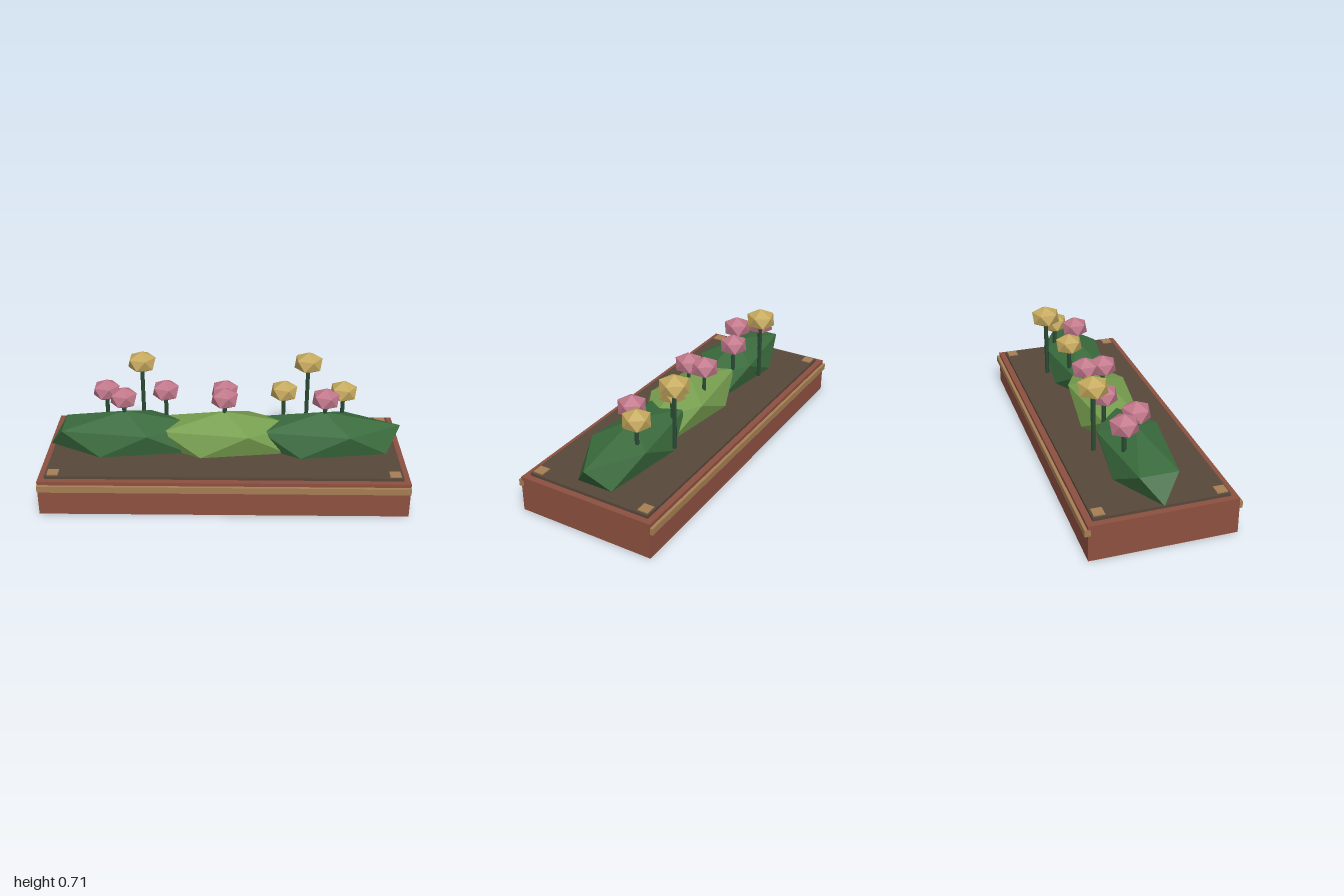
import * as THREE from 'three';

const mat = (name, color) => {
  const m = new THREE.MeshStandardMaterial({ color });
  m.name = name;
  m.flatShading = true;
  return m;
};

// Icosahedron standing on a corner, with one upper ring corner towards +x
function facetedBall(rx, ry, rz) {
  const g = new THREE.IcosahedronGeometry(1, 0);
  g.rotateX(-Math.atan2((1 + Math.sqrt(5)) / 2, 1));
  g.rotateY(Math.PI / 2);
  g.scale(rx, ry, rz);
  return g;
}

export function createModel() {
  const model = new THREE.Group();
  model.name = 'flowerPlanter';

  const brick = mat('brick', 0x8d503f);
  const wood = mat('wood', 0xa67e54);
  const soilMat = mat('soil', 0x58483b);
  const darkLeaf = mat('darkLeaf', 0x3a6b3d);
  const lightLeaf = mat('lightLeaf', 0x769e4e);
  const stemMat = mat('stem', 0x2a4a33);
  const pink = mat('pinkPetal', 0xc0778a);
  const yellow = mat('yellowPetal', 0xc5a95e);

  const add = (name, geometry, material, x, y, z, parent = model) => {
    const mesh = new THREE.Mesh(geometry, material);
    mesh.name = name;
    mesh.position.set(x, y, z);
    parent.add(mesh);
    return mesh;
  };

  // Planter body and soil bed
  add('planterBox', new THREE.BoxGeometry(2, 0.2, 0.778), brick, 0, 0.1, 0);
  add('soil', new THREE.BoxGeometry(1.93, 0.02, 0.71), soilMat, 0, 0.206, 0);

  // Wooden strips on the long sides and blocks in the corners
  for (const sz of [-1, 1]) {
    add('trimStrip', new THREE.BoxGeometry(2, 0.037, 0.03), wood, 0, 0.162, sz * 0.39);
    for (const sx of [-1, 1]) {
      add('cornerBlock', new THREE.BoxGeometry(0.06, 0.022, 0.057), wood, sx * 0.922, 0.211, sz * 0.317);
    }
  }

  // Three overlapping shrubs
  const shrubGeometry = facetedBall(0.479, 0.144, 0.194);
  for (const [x, material] of [[-0.555, darkLeaf], [0, lightLeaf], [0.555, darkLeaf]]) {
    add('shrub', shrubGeometry, material, x, 0.289, 0);
  }

  // Flowers: x, z, blossom height, blossom radius, colour
  const flowers = [
    [-0.667, -0.1, 0.513, 0.083, pink],
    [-0.56, 0, 0.513, 0.083, pink],
    [-0.333, -0.1, 0.513, 0.083, pink],
    [0, -0.1, 0.513, 0.083, pink],
    [0, 0, 0.513, 0.083, pink],
    [0.56, 0, 0.513, 0.083, pink],
    [0.333, -0.1, 0.513, 0.083, yellow],
    [0.667, -0.1, 0.513, 0.083, yellow],
    [-0.472, -0.2, 0.642, 0.088, yellow],
    [0.472, -0.2, 0.642, 0.088, yellow],
  ];
  const stemBase = 0.28;
  for (const [x, z, y, r, petal] of flowers) {
    const flower = new THREE.Group();
    flower.name = 'flower';
    flower.position.set(x, 0, z);
    const h = y - stemBase;
    add('stem', new THREE.CylinderGeometry(0.0125, 0.0125, h, 6), stemMat, 0, stemBase + h / 2, 0, flower);
    add('blossom', facetedBall(r, 0.064, r), petal, 0, y, 0, flower);
    model.add(flower);
  }

  return model;
}
